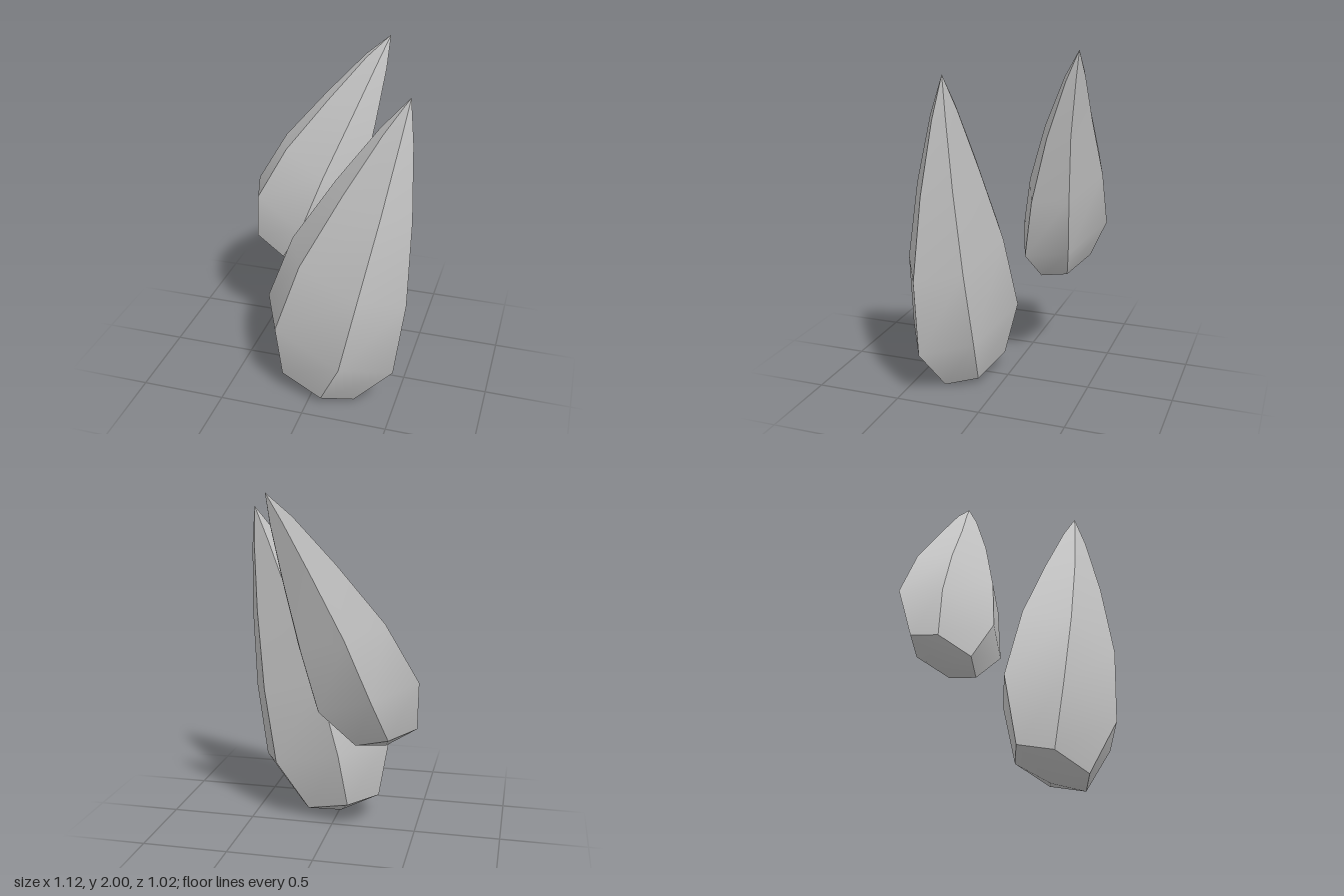
import * as THREE from 'three';

const stone = new THREE.MeshStandardMaterial({ color: 0xc4c4c4 });
stone.name = 'pale grey stone';

// Six-sided shard: rings are [x, y, z, scale]; u and v are two corner offsets
// 120 degrees apart on the sheared hexagonal cross-section.
function makeShard(name, { u, v, rings, tip, pole }) {
  const U = new THREE.Vector3(...u), V = new THREE.Vector3(...v);
  const W = U.clone().add(V);
  const corners = [U, W, V, U.clone().negate(), W.clone().negate(), V.clone().negate()];
  const at = (r, k) => corners[k % 6].clone().multiplyScalar(r[3]).add(new THREE.Vector3(r[0], r[1], r[2]));

  const points = [], index = [];
  const add = (p) => points.push(p) - 1;
  const top = new THREE.Vector3(...tip);

  // Long facets, each smooth along its length with hard edges beside it
  for (let k = 0; k < 6; k++) {
    let a = -1, b = -1;
    for (const r of rings) {
      const c = add(at(r, k)), d = add(at(r, k + 1));
      if (a >= 0) index.push(a, b, d, a, d, c);
      a = c;
      b = d;
    }
    index.push(a, b, add(top));
  }

  // Shallow pointed underside
  const centre = add(new THREE.Vector3(...pole));
  const rim = corners.map((_, k) => add(at(rings[0], k)));
  for (let k = 0; k < 6; k++) index.push(centre, rim[(k + 1) % 6], rim[k]);

  const geometry = new THREE.BufferGeometry().setFromPoints(points);
  geometry.setIndex(index);
  geometry.computeVertexNormals();
  const mesh = new THREE.Mesh(geometry, stone);
  mesh.name = name;
  return mesh;
}

export function createModel() {
  const group = new THREE.Group();
  group.name = 'shards';
  group.add(
    makeShard('frontShard', {
      u: [-0.413, 0.115, -0.123],
      v: [0.135, -0.045, 0.28],
      rings: [
        [0, 0.08, 0.225, 0.63],
        [0.088, 0.406, 0.234, 1],
        [0.2, 0.85, 0.242, 0.87],
        [0.333, 1.3, 0.225, 0.55],
        [0.44, 1.67, 0.2, 0.23],
      ],
      tip: [0.503, 1.88, 0.18],
      pole: [-0.01, 0, 0.22],
    }),
    makeShard('backShard', {
      u: [-0.315, 0.115, -0.147],
      v: [0.075, -0.015, 0.235],
      rings: [
        [-0.35, 0.68, -0.25, 0.62],
        [-0.245, 0.915, -0.275, 1],
        [-0.115, 1.24, -0.313, 0.84],
        [0.045, 1.58, -0.367, 0.52],
        [0.173, 1.855, -0.43, 0.22],
      ],
      tip: [0.245, 2, -0.47],
      pole: [-0.36, 0.61, -0.245],
    }),
  );
  return group;
}
